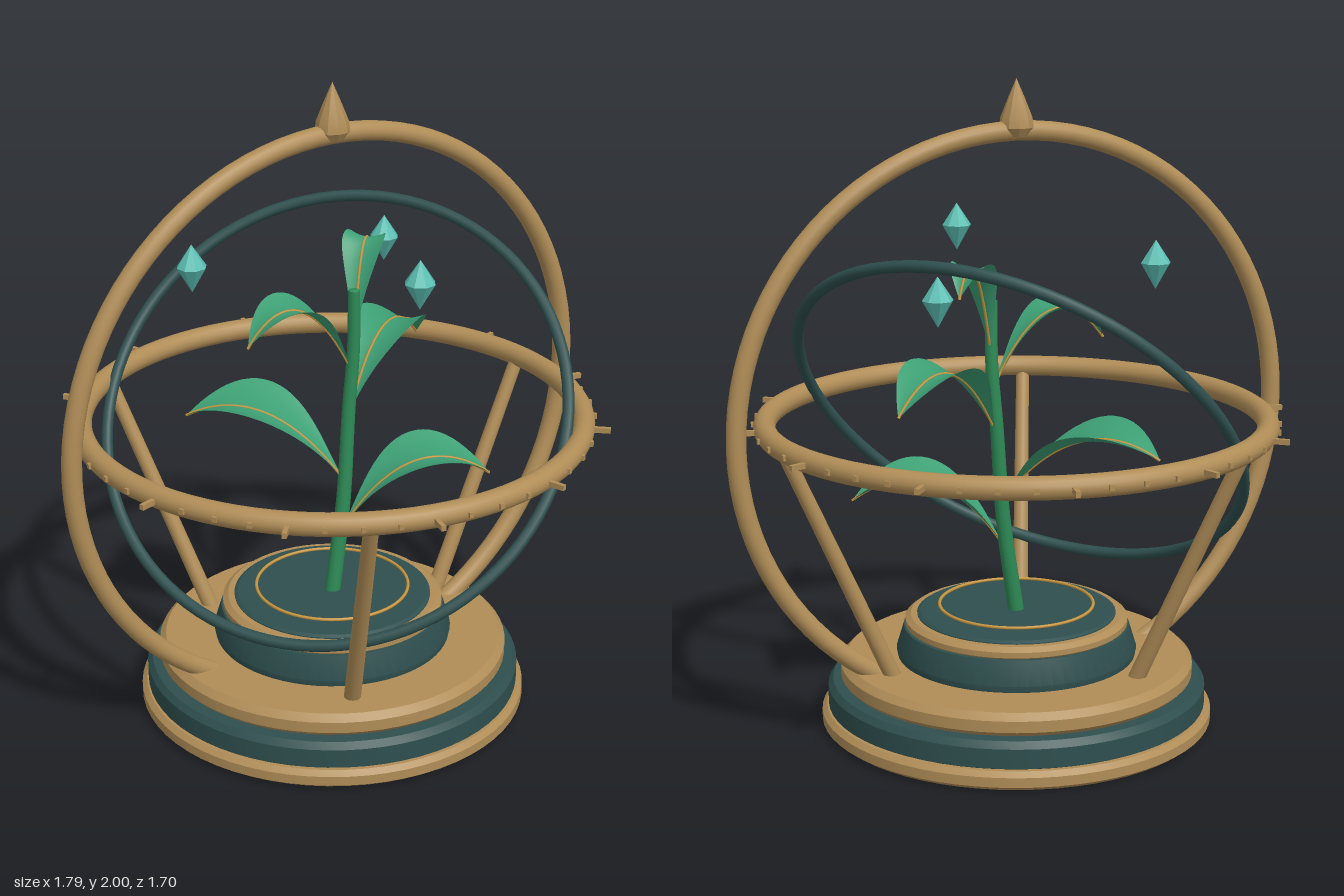
import * as THREE from 'three';
import { toCreasedNormals } from 'three/addons/utils/BufferGeometryUtils.js';

const V = (x, y, z) => new THREE.Vector3(x, y, z);

export function createModel() {
  const group = new THREE.Group();
  const material = (name, color, extra = {}) => {
    const m = new THREE.MeshStandardMaterial({ color, ...extra });
    m.name = name;
    return m;
  };
  const bronze = material('bronze', 0xb08d57);
  const slate = material('dark slate', 0x2f4f4f);
  const gold = material('gold', 0xc8963e);
  const stemGreen = material('stem green', 0x2e8b57);
  const leafGreen = material('leaf green', 0x3d9f74, { side: THREE.DoubleSide });
  const crystalTeal = material('crystal teal', 0x5bbfb3, { flatShading: true });

  const add = (name, geometry, mat, parent = group) => {
    const mesh = new THREE.Mesh(geometry, mat);
    mesh.name = name;
    parent.add(mesh);
    return mesh;
  };
  const lathe = (points, sides) =>
    new THREE.LatheGeometry(points.map(([r, y]) => new THREE.Vector2(r, y)), sides);
  // Rod between two points
  const rod = (name, a, b, ra, rb, mat) => {
    const dir = b.clone().sub(a);
    const mesh = add(name, new THREE.CylinderGeometry(rb, ra, dir.length(), 16), mat);
    mesh.position.copy(a).add(b).multiplyScalar(0.5);
    mesh.quaternion.setFromUnitVectors(V(0, 1, 0), dir.normalize());
  };

  // Stepped pedestal, one lathe per coloured tier
  const tiers = [
    ['baseFoot', bronze, [[0, 0], [0.59, 0], [0.61, 0.015], [0.61, 0.045], [0.595, 0.06], [0, 0.06]]],
    ['baseBand', slate, [[0.57, 0.055], [0.59, 0.065], [0.59, 0.125], [0.575, 0.145], [0, 0.145]]],
    ['basePlate', bronze, [[0, 0.14], [0.53, 0.14], [0.55, 0.16], [0.55, 0.195], [0.53, 0.215], [0, 0.215]]],
    ['upperBand', slate, [[0.37, 0.21], [0.375, 0.235], [0.352, 0.31], [0, 0.31]]],
    ['upperRim', bronze, [[0.335, 0.305], [0.347, 0.315], [0.347, 0.332], [0.33, 0.345], [0, 0.345]]],
    ['soilDisc', slate, [[0.31, 0.34], [0.31, 0.348], [0.3, 0.354], [0, 0.354]]],
  ];
  for (const [name, mat, pts] of tiers) add(name, toCreasedNormals(lathe(pts, 64), 0.5), mat);

  // Thin gold ring hovering over the pedestal
  const halo = add('goldRing', new THREE.TorusGeometry(0.24, 0.005, 8, 64), gold);
  halo.rotation.x = Math.PI / 2;
  halo.position.y = 0.373;

  // Three interlocking rings
  const centreY = 0.96;
  const meridian = add('verticalRing', new THREE.TorusGeometry(0.885, 0.03, 16, 96), bronze);
  meridian.position.y = centreY;
  meridian.rotation.y = 0.2;
  const horizon = add('horizontalRing', new THREE.TorusGeometry(0.767, 0.034, 16, 96), bronze);
  horizon.position.y = centreY;
  horizon.rotation.x = Math.PI / 2;
  const tilted = add('tiltedRing', new THREE.TorusGeometry(0.727, 0.018, 12, 96), slate);
  tilted.position.y = centreY;
  tilted.quaternion.setFromUnitVectors(V(0, 0, 1), V(-0.48, 0.657, 0.58).normalize());

  // Graduation marks round the horizontal ring, every fourth one long
  const marks = new THREE.Group();
  marks.name = 'graduationMarks';
  group.add(marks);
  for (let i = 0; i < 48; i++) {
    const a = (i / 48) * Math.PI * 2;
    const end = i % 4 ? 0.808 : 0.848;
    const mark = add('mark', new THREE.BoxGeometry(end - 0.78, 0.016, 0.014), bronze, marks);
    const r = (end + 0.78) / 2;
    mark.position.set(Math.cos(a) * r, centreY, Math.sin(a) * r);
    mark.rotation.y = -a;
  }

  // Finial on top of the vertical ring
  add('finial', toCreasedNormals(lathe([[0, 1.83], [0.036, 1.83], [0.052, 1.855], [0.048, 1.885],
    [0.024, 1.945], [0, 2]], 10), 0.5), bronze);

  // Splayed struts carrying the horizontal ring
  for (const degrees of [103, 223, -17]) {
    const a = THREE.MathUtils.degToRad(degrees);
    const at = (r, y) => V(Math.cos(a) * r, y, Math.sin(a) * r);
    rod('strut', at(0.425, 0.2), at(0.765, 0.95), 0.026, 0.022, bronze);
  }

  // Tapered stem: tube rings shrink towards the top
  const stemCurve = new THREE.CatmullRomCurve3([V(0, 0.34, 0), V(0.045, 0.65, -0.02),
    V(0.068, 0.95, -0.035), V(0.083, 1.15, -0.035), V(0.082, 1.34, -0.03)]);
  const stem = new THREE.TubeGeometry(stemCurve, 40, 0.025, 12);
  const p = stem.attributes.position;
  for (let i = 0; i < p.count; i++) {
    const t = Math.floor(i / 13) / 40;
    const c = stemCurve.getPointAt(t);
    const v = V().fromBufferAttribute(p, i).sub(c).multiplyScalar(1 - 0.25 * t).add(c);
    p.setXYZ(i, v.x, v.y, v.z);
  }
  add('stem', stem, stemGreen);
  const cap = add('stemTip', new THREE.SphereGeometry(0.0187, 12, 8), stemGreen);
  cap.position.set(0.082, 1.338, -0.03);
  cap.scale.y = 0.3;

  // Arched leaf: cross-sections swept along a curve, widest past the middle
  const leafGeometry = (curve, halfWidth) => {
    const rows = 24, cols = 10, pos = [], idx = [];
    const along = curve.v2.clone().sub(curve.v0);
    const side = V(-along.z, 0, along.x).normalize();
    for (let i = 0; i <= rows; i++) {
      const t = i / rows;
      const c = curve.getPoint(t);
      const normal = side.clone().cross(curve.getTangent(t)).normalize();
      const w = halfWidth * Math.max(0.04 * (1 - t), Math.sin(Math.PI * Math.pow(t, 1.25)));
      for (let j = 0; j <= cols; j++) {
        const s = (j / cols) * 2 - 1;
        const v = c.clone().addScaledVector(side, s * w).addScaledVector(normal, s * s * w * 0.28);
        pos.push(v.x, v.y, v.z);
        if (i < rows && j < cols) {
          const a = i * (cols + 1) + j, b = a + cols + 1;
          idx.push(a, a + 1, b, b, a + 1, b + 1);
        }
      }
    }
    const g = new THREE.BufferGeometry();
    g.setAttribute('position', new THREE.Float32BufferAttribute(pos, 3));
    g.setIndex(idx);
    g.computeVertexNormals();
    return g;
  };
  // Base, control point, tip, half width
  const leaves = [
    [V(0.045, 0.72, -0.02), V(-0.16, 1.04, -0.15), V(-0.375, 0.89, -0.3), 0.145],
    [V(0.04, 0.56, -0.01), V(0.25, 0.9, 0.03), V(0.5, 0.71, 0.08), 0.135],
    [V(0.08, 1.07, -0.035), V(-0.1, 1.46, -0.02), V(-0.27, 1.21, 0), 0.095],
    [V(0.07, 0.93, -0.035), V(0.23, 1.31, -0.16), V(0.41, 1.06, -0.31), 0.11],
    [V(0.082, 1.15, -0.035), V(0.15, 1.62, -0.13), V(0.21, 1.38, -0.2), 0.065],
  ];
  for (const [base, control, tip, halfWidth] of leaves) {
    const curve = new THREE.QuadraticBezierCurve3(base, control, tip);
    add('leaf', leafGeometry(curve, halfWidth), leafGreen);
    add('leafVein', new THREE.TubeGeometry(curve, 24, 0.0045, 6), gold);
  }

  // Floating crystals
  for (const [x, y, z] of [[-0.405, 1.447, -0.105], [0.112, 1.5, 0.4], [0.29, 1.395, -0.3]]) {
    const crystal = add('crystal', lathe([[0, -0.075], [0.046, 0.005], [0, 0.075]], 8), crystalTeal);
    crystal.position.set(x, y, z);
  }

  return group;
}
